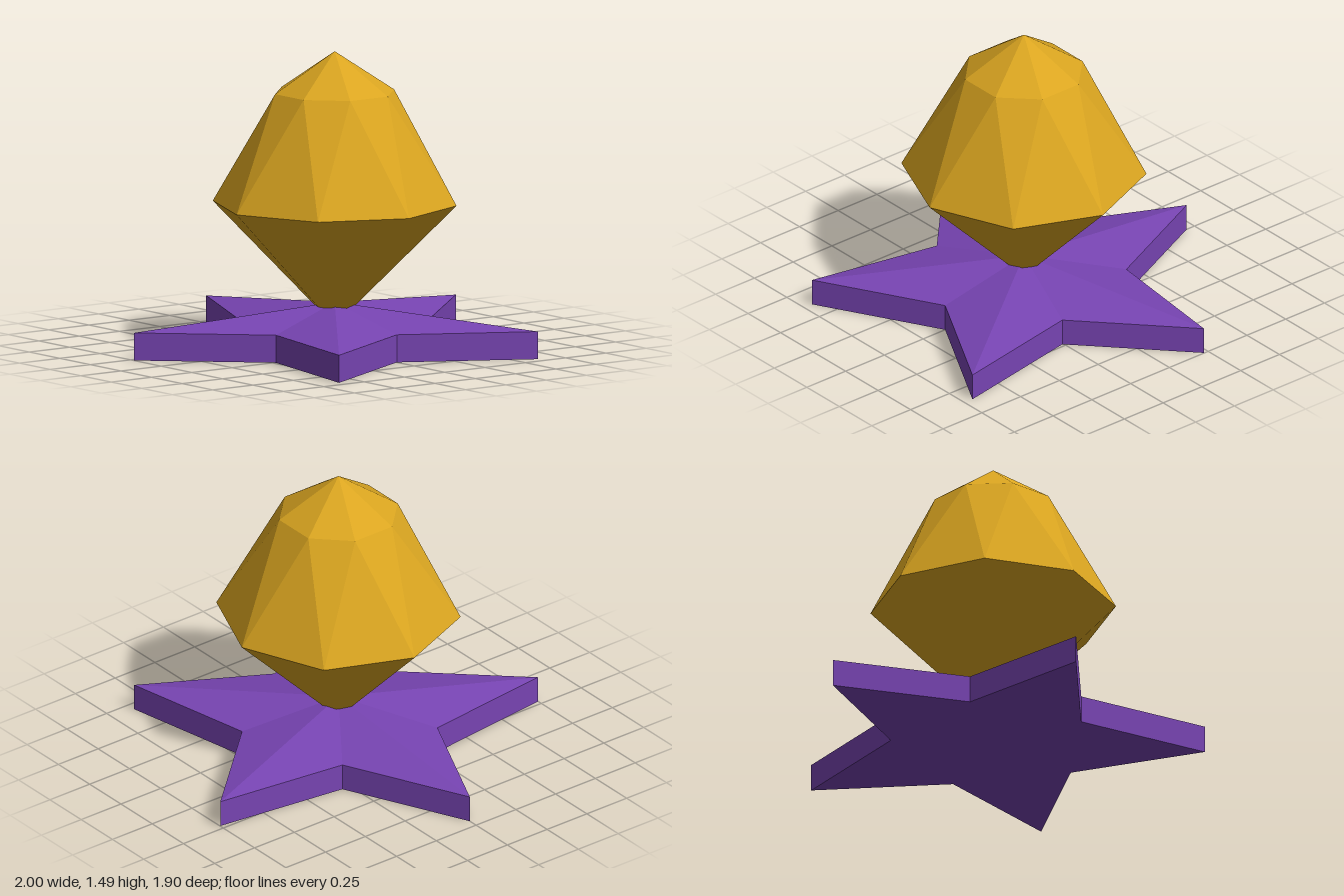
import * as THREE from 'three';

const gold = new THREE.MeshStandardMaterial({ color: 0xdaa520, flatShading: true });
gold.name = 'gold';
const purple = new THREE.MeshStandardMaterial({ color: 0x7744b2, flatShading: true });
purple.name = 'purple';

// Faceted solid from rings listed bottom to top.
// Each ring: y, radius(i), and turn (in steps around the axis).
function facetedSolid(sides, rings) {
  const step = (Math.PI * 2) / sides;
  const point = (ring, i) => {
    const t = Math.PI + (i + ring.turn) * step;
    const r = ring.radius(i % sides);
    return [r * Math.sin(t), ring.y, r * Math.cos(t)];
  };
  const isApex = (ring) => ring.radius(0) === 0;
  const positions = [];
  for (let k = 0; k < rings.length - 1; k++) {
    const low = rings[k], high = rings[k + 1];
    for (let i = 0; i < sides; i++) {
      const a = point(low, i), b = point(low, i + 1);
      const c = point(high, i + 1), d = point(high, i);
      if (!isApex(low)) positions.push(...a, ...b, ...d);
      if (!isApex(high)) positions.push(...b, ...c, ...d);
    }
  }
  const geometry = new THREE.BufferGeometry();
  geometry.setAttribute('position', new THREE.Float32BufferAttribute(positions, 3));
  geometry.computeVertexNormals();
  return geometry;
}

const ring = (y, radius, turn = 0) => ({ y, turn, radius: typeof radius === 'function' ? radius : () => radius });

export function createModel() {
  const model = new THREE.Group();
  model.name = 'gemOnStar';

  // Five-pointed base with upright sides and a shallow faceted top
  const starRadius = (i) => (i % 2 === 0 ? 1.05 : 0.508);
  const starBase = new THREE.Mesh(
    facetedSolid(10, [ring(0, 0), ring(0, starRadius), ring(0.138, starRadius), ring(0.238, 0)]),
    purple
  );
  starBase.name = 'starBase';

  // Eight-sided gem: pointed foot, wide girdle, twisted crown ring, peak
  const gem = new THREE.Mesh(
    facetedSolid(8, [ring(0.12, 0), ring(0.732, 0.608), ring(1.29, 0.304, 0.5), ring(1.493, 0, 0.5)]),
    gold
  );
  gem.name = 'gem';

  model.add(starBase, gem);
  // The star's axis sits forward so its outline is centred in depth
  for (const part of model.children) part.position.z = 0.1;
  return model;
}
